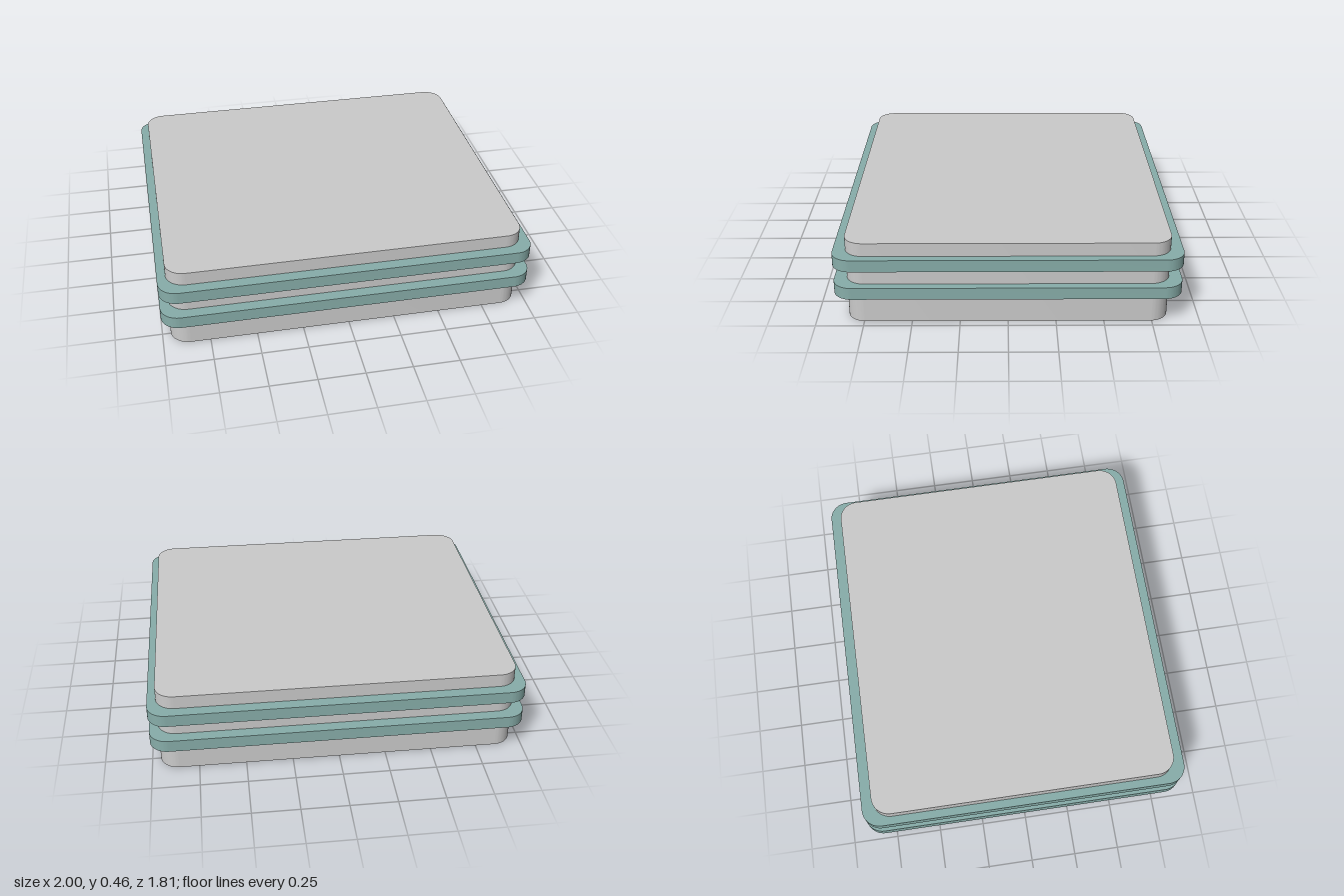
import * as THREE from 'three';
import { toCreasedNormals } from 'three/addons/utils/BufferGeometryUtils.js';

// Flat slab with rounded vertical corners, standing on y = 0
function roundedSlab(halfX, halfZ, radius, height) {
  const s = new THREE.Shape();
  const cx = halfX - radius, cz = halfZ - radius;
  s.absarc(cx, cz, radius, 0, Math.PI / 2);
  s.absarc(-cx, cz, radius, Math.PI / 2, Math.PI);
  s.absarc(-cx, -cz, radius, Math.PI, Math.PI * 1.5);
  s.absarc(cx, -cz, radius, Math.PI * 1.5, Math.PI * 2);
  s.closePath();
  const g = new THREE.ExtrudeGeometry(s, { depth: height, bevelEnabled: false, curveSegments: 12 });
  g.rotateX(-Math.PI / 2);
  return toCreasedNormals(g, Math.PI / 6);
}

export function createModel() {
  const model = new THREE.Group();
  model.name = 'bandedBlock';
  const grey = new THREE.MeshStandardMaterial({ color: 0xcccccc });
  const teal = new THREE.MeshStandardMaterial({ color: 0x88aeaa });

  // Main block
  const body = new THREE.Mesh(roundedSlab(0.955, 0.84, 0.1, 0.455), grey);
  body.name = 'body';
  model.add(body);

  // Two protruding bands around the block
  const bandGeometry = roundedSlab(1, 0.903, 0.1, 0.066);
  [['lowerBand', 0.156], ['upperBand', 0.316]].forEach(([name, y]) => {
    const band = new THREE.Mesh(bandGeometry, teal);
    band.name = name;
    band.position.y = y;
    model.add(band);
  });
  return model;
}
